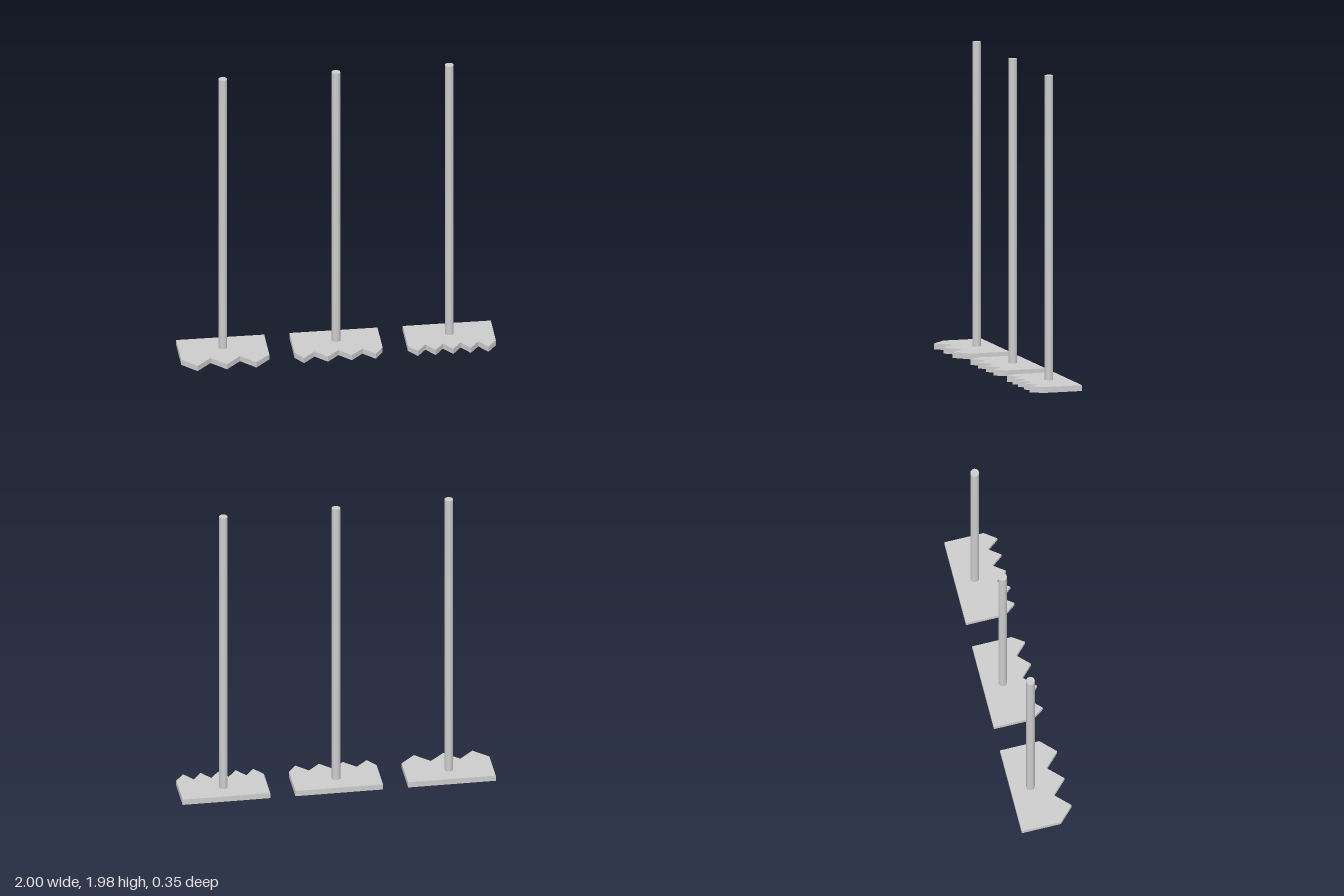
import * as THREE from 'three';

const material = new THREE.MeshStandardMaterial({ color: 0xcccccc });
const HALF = 0.28, THICK = 0.037, BACK = -0.174, VALLEY = 0.081;

// Toothed plate; each outline point is [x, z] along the front edge, from left to right
function makeHead(edge) {
  const shape = new THREE.Shape();
  shape.moveTo(HALF, -BACK);
  shape.lineTo(-HALF, -BACK);
  edge.forEach(([x, z]) => shape.lineTo(x, -z));
  const geometry = new THREE.ExtrudeGeometry(shape, { depth: THICK, bevelEnabled: false });
  geometry.rotateX(-Math.PI / 2);
  const head = new THREE.Mesh(geometry, material);
  head.name = 'toothedHead';
  return head;
}

// Zigzag of tips and valleys; the outer valleys are clamped to the plate sides
function zigzag(teeth, pitch, tip) {
  const edge = [];
  for (let i = 0; i <= teeth * 2; i++) {
    const x = (i / 2 - teeth / 2) * pitch;
    edge.push([THREE.MathUtils.clamp(x, -HALF, HALF), i % 2 ? tip : VALLEY]);
  }
  return edge;
}

function makeHandle() {
  const bottom = THICK / 2, top = 1.98;
  const handle = new THREE.Mesh(
    new THREE.CylinderGeometry(0.027, 0.027, top - bottom, 32), material);
  handle.position.set(0, (top + bottom) / 2, -0.047);
  handle.name = 'handle';
  return handle;
}

export function createModel() {
  const model = new THREE.Group();
  model.name = 'notchedSpreaders';

  // Three tools with coarse, medium and fine teeth
  const tools = [
    { name: 'coarseSpreader', x: -0.72, edge: zigzag(3, 0.56 / 3, 0.174) },
    { name: 'mediumSpreader', x: 0, edge: zigzag(4, 0.152, 0.157) },
    { name: 'fineSpreader', x: 0.72, edge: zigzag(5, 0.112, 0.157) },
  ];
  for (const { name, x, edge } of tools) {
    const tool = new THREE.Group();
    tool.name = name;
    tool.position.x = x;
    tool.add(makeHead(edge), makeHandle());
    model.add(tool);
  }
  return model;
}
